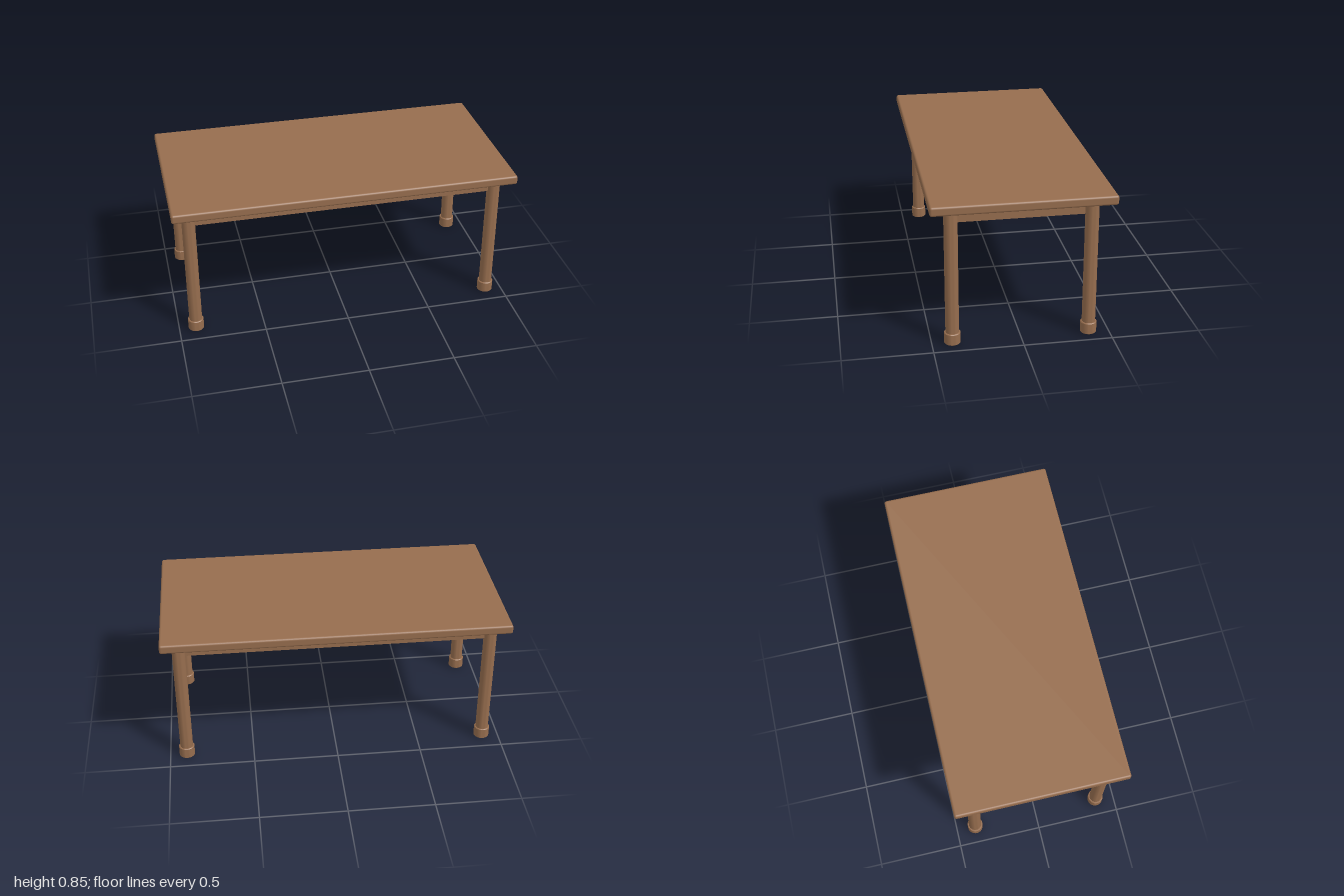
import * as THREE from 'three';
import { RoundedBoxGeometry } from 'three/addons/geometries/RoundedBoxGeometry.js';
import { toCreasedNormals } from 'three/addons/utils/BufferGeometryUtils.js';

const wood = new THREE.MeshStandardMaterial({ color: 0x966d4e });
wood.name = 'brown wood';

function part(name, geometry, x, y, z) {
  const mesh = new THREE.Mesh(geometry, wood);
  mesh.name = name;
  mesh.position.set(x, y, z);
  return mesh;
}

// Closed upright cylinder from y0 to y1 with slightly bevelled rims
function bevelledPost(radius, y0, y1, bevel) {
  const profile = [
    [0, y0], [radius - bevel, y0], [radius, y0 + bevel],
    [radius, y1 - bevel], [radius - bevel, y1], [0, y1],
  ].map(([r, y]) => new THREE.Vector2(r, y));
  return toCreasedNormals(new THREE.LatheGeometry(profile, 32), 0.6);
}

export function createModel() {
  const table = new THREE.Group();
  table.name = 'table';

  // Tabletop with softened edges
  table.add(part('tabletop', new RoundedBoxGeometry(2, 0.054, 1.01, 4, 0.013), 0, 0.826, 0));

  // Solid apron block under the top
  table.add(part('apron', new THREE.BoxGeometry(1.76, 0.092, 0.79), 0, 0.757, 0));

  // Four round legs, each standing in a wider foot
  const legGeometry = bevelledPost(0.038, 0.01, 0.792, 0.003);
  const footGeometry = bevelledPost(0.046, 0, 0.068, 0.004);
  for (const [sx, side] of [[1, 'Left'], [-1, 'Right']]) {
    for (const [sz, end] of [[1, 'front'], [-1, 'back']]) {
      const leg = new THREE.Group();
      leg.name = `${end}${side}Leg`;
      leg.position.set(sx * 0.9, 0, sz * 0.385);
      leg.add(part('legPost', legGeometry, 0, 0, 0), part('foot', footGeometry, 0, 0, 0));
      table.add(leg);
    }
  }
  return table;
}
